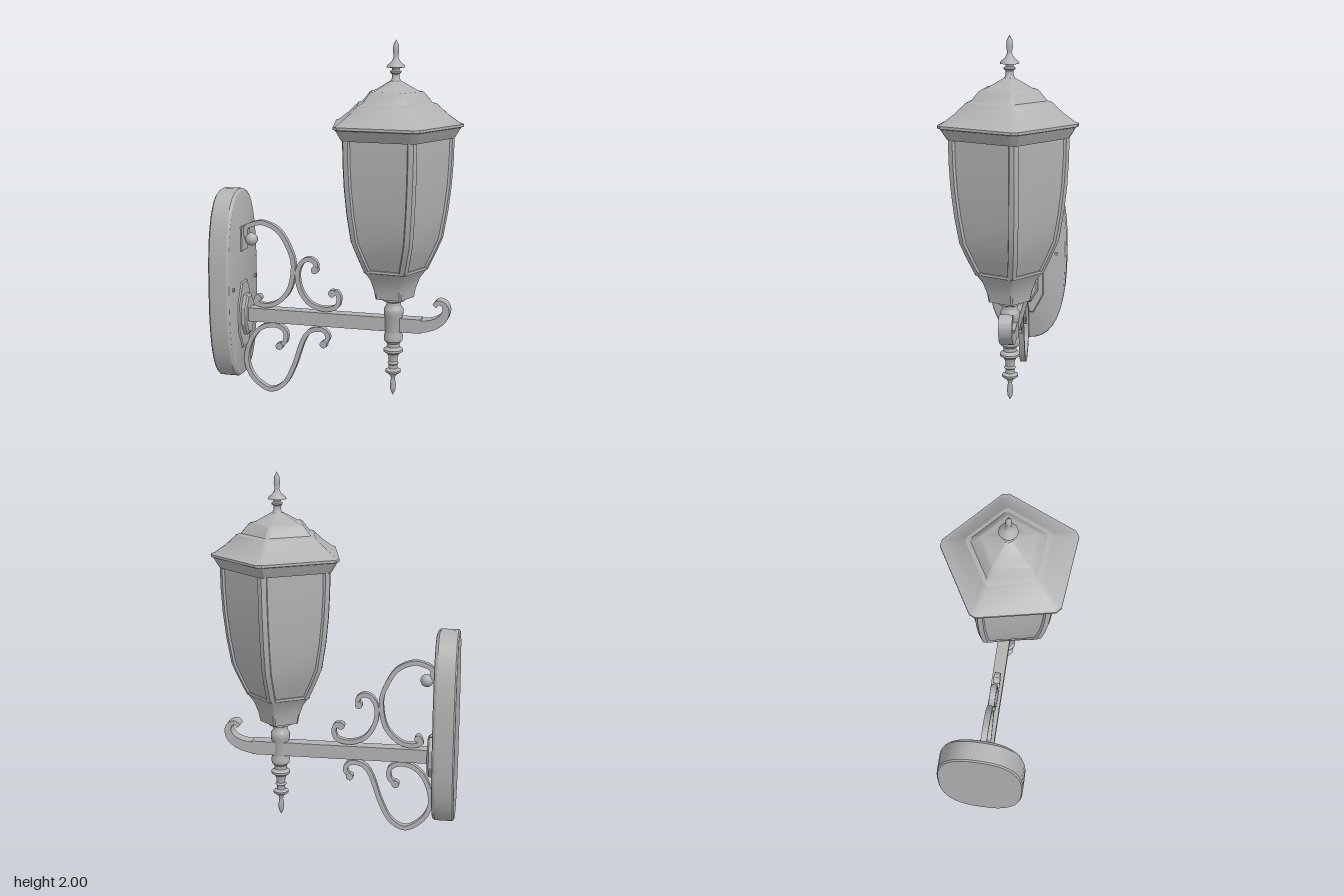
import * as THREE from 'three';
import { toCreasedNormals } from 'three/addons/utils/BufferGeometryUtils.js';

const greyMetal = new THREE.MeshStandardMaterial({ color: 0xb2b2b2 });
greyMetal.name = 'grey metal';

const LAMP_X = 0.314;
const ARM_Z = -0.008;

// Skin through rings of equal point count, capped at both ends
function loft(rings) {
  const n = rings[0].length;
  const pos = rings.flat(2);
  const idx = [];
  for (let i = 0; i < rings.length - 1; i++) {
    for (let j = 0; j < n; j++) {
      const k = (j + 1) % n;
      const a = i * n + j, b = i * n + k, c = a + n, d = b + n;
      idx.push(a, c, b, b, c, d);
    }
  }
  const cap = (ring, base, isEnd) => {
    const centre = pos.length / 3;
    for (let k = 0; k < 3; k++) pos.push(ring.reduce((s, p) => s + p[k], 0) / n);
    for (let j = 0; j < n; j++) {
      const k = (j + 1) % n;
      if (isEnd) idx.push(centre, base + k, base + j);
      else idx.push(centre, base + j, base + k);
    }
  };
  cap(rings[0], 0, false);
  cap(rings[rings.length - 1], (rings.length - 1) * n, true);
  const g = new THREE.BufferGeometry();
  g.setAttribute('position', new THREE.Float32BufferAttribute(pos, 3));
  g.setIndex(idx);
  return toCreasedNormals(g, 0.5);
}

// Corner of the five-sided lantern at a given radius and height
function corner(r, y, i) {
  const a = (59.6 + 72 * i) * Math.PI / 180;
  return [LAMP_X - 0.02 * r + r * Math.cos(a), y, 0.045 * r + r * Math.sin(a)];
}

// Point a distance t from p towards q
function towards(p, q, t) {
  const d = Math.hypot(q[0] - p[0], q[1] - p[1], q[2] - p[2]);
  return p.map((v, k) => v + (q[k] - v) * t / d);
}

// Pentagon with slightly clipped corners
function pentagon([r, y]) {
  const pts = [];
  for (let i = 0; i < 5; i++) {
    const c = corner(r, y, i);
    pts.push(towards(c, corner(r, y, i - 1), r * 0.06), towards(c, corner(r, y, i + 1), r * 0.06));
  }
  return pts;
}

// Superellipse in the wall plane
function wallRing(x, cy, halfH, halfW, n, power, turn = 0) {
  const f = v => Math.sign(v) * Math.abs(v) ** (2 / power);
  return Array.from({ length: n }, (_, i) => {
    const a = i / n * Math.PI * 2 + turn;
    return [x, cy + halfH * f(Math.cos(a)), ARM_Z - halfW * f(Math.sin(a))];
  });
}

// Flat bar following a curve in the front plane; width may vary along it
function ribbon(points, width, depth) {
  const curve = new THREE.SplineCurve(points.map(p => new THREE.Vector2(...p)));
  const left = [], right = [], steps = points.length * 5;
  for (let i = 0; i <= steps; i++) {
    const t = i / steps, p = curve.getPoint(t), d = curve.getTangent(t), w = width(t) / 2;
    left.push(new THREE.Vector2(p.x - d.y * w, p.y + d.x * w));
    right.unshift(new THREE.Vector2(p.x + d.y * w, p.y - d.x * w));
  }
  const g = new THREE.ExtrudeGeometry(new THREE.Shape([...left, ...right]), { depth, bevelEnabled: false });
  g.translate(0, 0, ARM_Z - depth / 2);
  return toCreasedNormals(g, 0.6);
}

function turned(profile) {
  const g = new THREE.LatheGeometry(profile.map(p => new THREE.Vector2(...p)), 20);
  return toCreasedNormals(g, 0.6);
}

export function createModel() {
  const model = new THREE.Group();
  const add = (name, geometry, x = 0, y = 0, z = 0) => {
    const m = new THREE.Mesh(geometry, greyMetal);
    m.name = name;
    m.position.set(x, y, z);
    model.add(m);
    return m;
  };

  // Wall plate with stepped edge
  add('wallPlate', loft([
    [-0.68, 0.53, 0.236], [-0.672, 0.54, 0.242], [-0.575, 0.54, 0.242], [-0.562, 0.53, 0.234], [-0.558, 0.52, 0.226],
  ].map(([x, h, w]) => wallRing(x, 0.63, h, w, 40, 2.6))));

  // Arm mount: thin octagon below a thicker block
  const oct = (x, cy, h, w) => wallRing(x, cy, h, w, 8, 2, Math.PI / 8);
  add('mountRose', loft([oct(-0.56, 0.45, 0.21, 0.114), oct(-0.55, 0.45, 0.2, 0.106)]));
  add('mountBlock', loft([oct(-0.555, 0.45, 0.125, 0.077), oct(-0.53, 0.45, 0.125, 0.077), oct(-0.52, 0.45, 0.11, 0.066)]));
  add('scrollPad', new THREE.BoxGeometry(0.012, 0.14, 0.09), -0.556, 0.89, ARM_Z);
  for (const s of [-1, 1]) {
    const bolt = add('plateBolt', new THREE.CylinderGeometry(0.01, 0.01, 0.012, 10), -0.554, 0.63, ARM_Z + s * 0.18);
    bolt.rotation.z = Math.PI / 2;
  }

  // Arm with upturned tapering end
  add('arm', new THREE.BoxGeometry(1.0, 0.078, 0.07), -0.03, 0.454, ARM_Z);
  add('armHook', ribbon([
    [0.4, 0.454], [0.47, 0.454], [0.54, 0.47], [0.59, 0.505], [0.608, 0.55], [0.595, 0.585], [0.565, 0.595], [0.545, 0.575],
  ], t => 0.078 - 0.052 * Math.min(1, t * 1.35), 0.07));

  // Scrolls: each path ends in small knobs
  const scrolls = {
    upperScroll: [[-0.505, 0.885], [-0.535, 0.905], [-0.535, 0.95], [-0.5, 0.972], [-0.43, 0.982], [-0.34, 0.935], [-0.275, 0.82],
      [-0.26, 0.73], [-0.285, 0.61], [-0.355, 0.53], [-0.43, 0.508], [-0.485, 0.525], [-0.468, 0.55]],
    innerScroll: [[-0.135, 0.73], [-0.13, 0.765], [-0.165, 0.79], [-0.21, 0.77], [-0.236, 0.705], [-0.222, 0.615], [-0.17, 0.54],
      [-0.09, 0.51], [-0.015, 0.525], [0.005, 0.575], [-0.012, 0.61], [-0.035, 0.603]],
    lowerScroll: [[-0.345, 0.275], [-0.31, 0.31], [-0.312, 0.365], [-0.365, 0.396], [-0.445, 0.38], [-0.51, 0.31], [-0.543, 0.19],
      [-0.51, 0.085], [-0.41, 0.014], [-0.32, 0.055], [-0.26, 0.165], [-0.21, 0.31], [-0.165, 0.375], [-0.095, 0.39],
      [-0.06, 0.35], [-0.085, 0.305]],
  };
  for (const [name, path] of Object.entries(scrolls)) {
    add(name, ribbon(path, () => 0.026, 0.034));
    for (const p of [path[0], path[path.length - 1]]) {
      const knob = add(name + 'Knob', new THREE.CylinderGeometry(0.021, 0.021, 0.04, 14), p[0], p[1], ARM_Z);
      knob.rotation.x = Math.PI / 2;
    }
  }
  add('scrollBall', new THREE.SphereGeometry(0.036, 16, 12), -0.508, 0.885, ARM_Z);

  // Lantern glass and the corner posts in front of it
  const body = [[0.193, 0.765], [0.235, 0.85], [0.277, 0.944], [0.303, 1.09], [0.32, 1.236], [0.328, 1.37], [0.33, 1.49]];
  add('lanternGlass', loft(body.map(([r, y]) => pentagon([r - 0.014, y]))));
  for (let i = 0; i < 5; i++) {
    add('cornerPost', loft(body.map(([r, y]) => {
      const c = corner(r, y, i), inner = corner(r - 0.03, y, i);
      const edge = (p, q, rr) => towards(p, corner(rr, y, q), 0.03);
      return [edge(c, i - 1, r), towards(c, [LAMP_X, y, 0], 0.005), edge(c, i + 1, r),
        edge(inner, i + 1, r - 0.03), inner, edge(inner, i - 1, r - 0.03)];
    })));
  }

  // Flared cup under the glass
  add('lanternCup', loft([
    [0.118, 0.61], [0.128, 0.66], [0.152, 0.72], [0.187, 0.765], [0.196, 0.768], [0.196, 0.782], [0.18, 0.784],
  ].map(pentagon)));

  // Stepped roof with overhanging eave
  add('roof', loft([
    [0.335, 1.485], [0.342, 1.495], [0.372, 1.542], [0.386, 1.546], [0.386, 1.56], [0.365, 1.566], [0.3, 1.61], [0.25, 1.652],
    [0.238, 1.664], [0.21, 1.672], [0.165, 1.722], [0.152, 1.73], [0.13, 1.733], [0.07, 1.765], [0.03, 1.785],
  ].map(pentagon)));

  // Turned finial on top and turned stem below
  add('finial', turned([
    [0, 1.75], [0.045, 1.755], [0.028, 1.785], [0.02, 1.8], [0.02, 1.82], [0.03, 1.828], [0.03, 1.836], [0.019, 1.842],
    [0.022, 1.852], [0.05, 1.856], [0.045, 1.868], [0.024, 1.885], [0.016, 1.9], [0.012, 1.912], [0.017, 1.94],
    [0.014, 1.975], [0, 2],
  ]), LAMP_X);
  add('stem', turned([
    [0, 0.045], [0.013, 0.07], [0.017, 0.1], [0.011, 0.14], [0.014, 0.155], [0.022, 0.165], [0.042, 0.178], [0.044, 0.19],
    [0.024, 0.2], [0.024, 0.222], [0.032, 0.23], [0.024, 0.24], [0.026, 0.265], [0.034, 0.285], [0.054, 0.298],
    [0.054, 0.31], [0.036, 0.325], [0.036, 0.345], [0.05, 0.36], [0.053, 0.385], [0.046, 0.41], [0.049, 0.42],
    [0.049, 0.5], [0.054, 0.51], [0.054, 0.54], [0.04, 0.562], [0.04, 0.58], [0.064, 0.59], [0.064, 0.604], [0, 0.612],
  ]), LAMP_X);

  return model;
}
